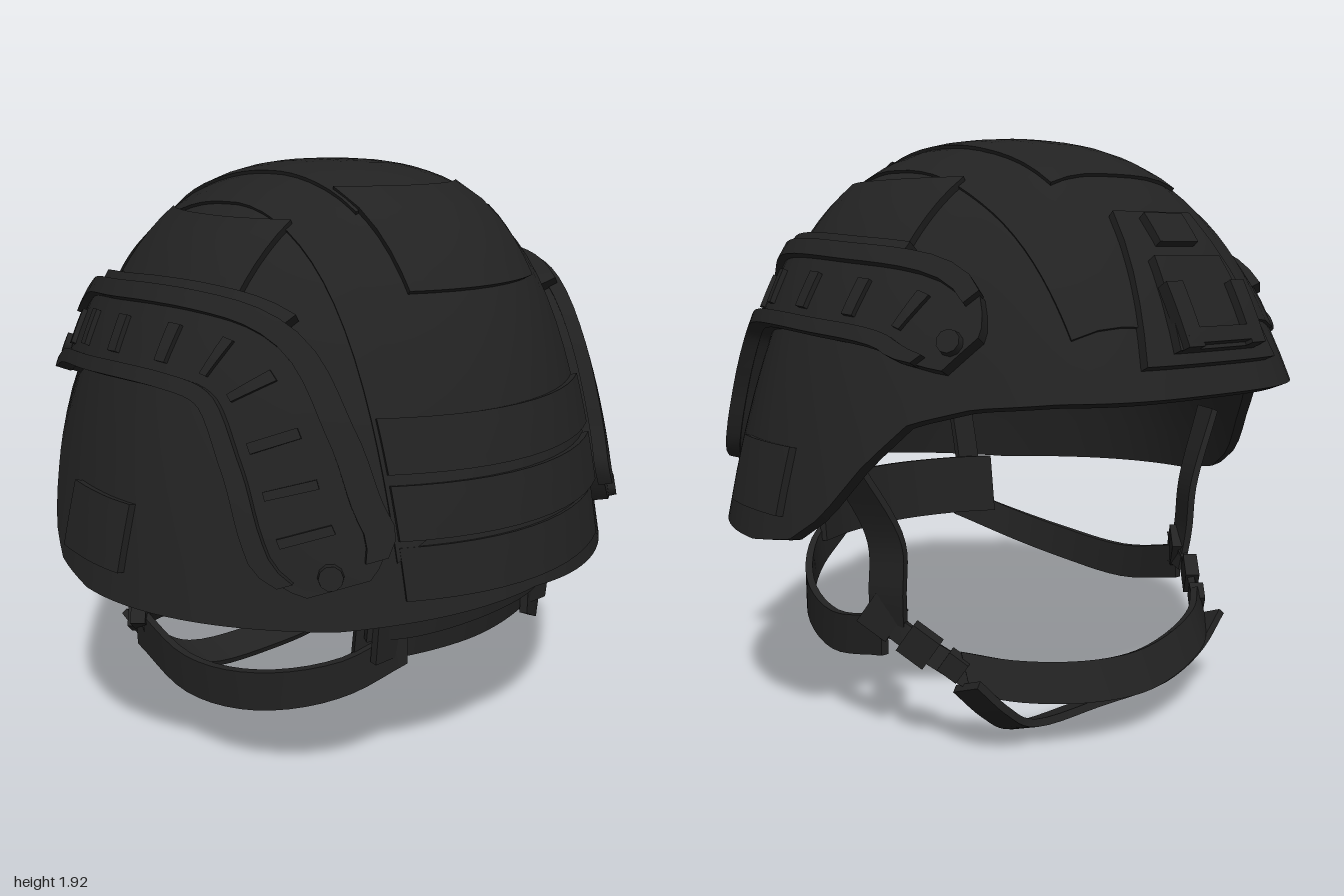
import * as THREE from 'three';
import { toCreasedNormals } from 'three/addons/utils/BufferGeometryUtils.js';

const V = (x, y, z) => new THREE.Vector3(x, y, z);
const lerp = THREE.MathUtils.lerp;
const TOP = 1.9, DROP = 1.2, CX = 0.04;

// Dome: a = angle round the head from the brow (-x), s = 0 at crown, about 1 at the rim
function radius(a) {
  const c = Math.cos(a), len = c > 0 ? 1.12 : 0.93, q = Math.abs(a);
  const shape = q < 0.91 ? 1 + 0.05 * Math.sin(Math.PI * q / 0.91) ** 2 : c < 0 ? 1 - 0.035 * Math.sin(2 * a) ** 2 : 1;
  return shape / Math.hypot(c / len, Math.sin(a) / 0.98);
}
function height(a, s) {
  const k = 0.67 - 0.22 * Math.max(0, -Math.cos(a));
  return TOP - DROP * (k * s ** 2.5 + (1 - k) * s ** 6);
}
const dome = (a, s) => V(CX - s * radius(a) * Math.cos(a), height(a, s), s * radius(a) * Math.sin(a));
function bisect(lo, hi, test) {
  for (let i = 0; i < 24; i++) {
    const m = (lo + hi) / 2;
    if (test(m)) lo = m; else hi = m;
  }
  return (lo + hi) / 2;
}
const sAt = (y, a) => bisect(0, 1.1, s => height(a, s) > y);
function onDome(a, s, off) {
  const p = dome(a, s);
  if (s < 0.03) return p.add(V(0, off, 0));
  const e = 0.004;
  const n = dome(a + e, s).sub(dome(a - e, s)).cross(dome(a, s + e).sub(dome(a, s - e))).normalize();
  if (n.y < 0) n.negate();
  return p.addScaledVector(n, off);
}
const onTop = (x, z, off) => {
  const a = Math.atan2(z, CX - x);
  return onDome(a, Math.hypot(z, CX - x) / radius(a), off);
};
const onSide = (x, y, side, off) => {
  const a = bisect(0, Math.PI, q => dome(q, sAt(y, q)).x < x);
  return onDome(side * a, sAt(y, a), off);
};
const onEnd = (y, z, back, off) => {
  const angle = q => back ? Math.PI - q : q;
  const a = angle(bisect(0, Math.PI / 2, q => dome(angle(q), sAt(y, angle(q))).z < Math.abs(z)));
  return onDome((z < 0 ? -1 : 1) * a, sAt(y, a), off);
};

// Closed slab from a rule P(u, v, w): w = 0 underside, w = 1 outside
function slab(nu, nv, P, crease = 0.6) {
  const pos = [], idx = [], row = nv + 1, layer = (nu + 1) * row;
  for (let w = 0; w < 2; w++)
    for (let i = 0; i <= nu; i++)
      for (let j = 0; j <= nv; j++) pos.push(...P(i / nu, j / nv, w).toArray());
  const quad = (a, b, c, d) => idx.push(a, b, c, a, c, d);
  const at = (w, i, j) => w * layer + i * row + j;
  for (let i = 0; i < nu; i++) {
    for (let j = 0; j < nv; j++) {
      quad(at(1, i, j), at(1, i + 1, j), at(1, i + 1, j + 1), at(1, i, j + 1));
      quad(at(0, i, j), at(0, i, j + 1), at(0, i + 1, j + 1), at(0, i + 1, j));
    }
    quad(at(0, i, 0), at(0, i + 1, 0), at(1, i + 1, 0), at(1, i, 0));
    quad(at(0, i, nv), at(1, i, nv), at(1, i + 1, nv), at(0, i + 1, nv));
  }
  for (let j = 0; j < nv; j++) {
    quad(at(0, 0, j), at(1, 0, j), at(1, 0, j + 1), at(0, 0, j + 1));
    quad(at(0, nu, j), at(0, nu, j + 1), at(1, nu, j + 1), at(1, nu, j));
  }
  // turn all faces outward
  const p = i => V(pos[3 * i], pos[3 * i + 1], pos[3 * i + 2]);
  let volume = 0;
  for (let i = 0; i < idx.length; i += 3) volume += p(idx[i]).dot(p(idx[i + 1]).cross(p(idx[i + 2])));
  if (volume < 0) idx.reverse();
  const g = new THREE.BufferGeometry();
  g.setAttribute('position', new THREE.Float32BufferAttribute(pos, 3));
  g.setIndex(idx);
  return toCreasedNormals(g, crease);
}

// Webbing along a smooth path; each stop is [position, width direction]
function ribbon(stops, width, thick = 0.025, n = 20) {
  const curve = new THREE.CatmullRomCurve3(stops.map(s => V(...s[0])), false, 'centripetal');
  return slab(n, 1, (u, v, w) => {
    const f = u * (stops.length - 1), i = Math.min(Math.floor(f), stops.length - 2);
    const dir = V(...stops[i][1]).lerp(V(...stops[i + 1][1]), f - i).normalize();
    const nrm = curve.getTangent(u).cross(dir).normalize();
    return curve.getPoint(u).addScaledVector(dir, (v - 0.5) * width).addScaledVector(nrm, (w - 0.5) * thick);
  });
}

// Rim height by angle from the brow, in degrees
const RIM = [[0, 1.14], [30, 1.14], [44, 1.12], [56, 1.07], [64, 0.95], [72, 0.79], [79, 0.71], [90, 0.68], [140, 0.67], [165, 0.7], [181, 0.72]];
function rimY(a) {
  const d = Math.abs(a) * 180 / Math.PI, i = RIM.findIndex(r => r[0] > d), [d0, y0] = RIM[i - 1], [d1, y1] = RIM[i];
  return lerp(y0, y1, (d - d0) / (d1 - d0));
}

export function createModel() {
  const model = new THREE.Group();
  const fabric = new THREE.MeshStandardMaterial({ color: 0x222222 });
  fabric.name = 'black fabric';
  const add = (name, geo) => {
    const m = new THREE.Mesh(geo, fabric);
    m.name = name;
    model.add(m);
    return m;
  };
  const sidePatch = (name, x0, x1, y0, y1, side, o1) =>
    add(name, slab(8, 5, (u, v, w) => onSide(lerp(x0, x1, u), lerp(y0, y1, v), side, w ? o1 : -0.01)));
  const endPatch = (name, y0, y1, z0, z1, back, o0, o1, taper = 1) =>
    add(name, slab(5, 12, (u, v, w) => onEnd(lerp(y0, y1, u), lerp(z0, z1, v) * lerp(1, taper, u), back, w ? o1 : o0)));

  // Shell with its inner wall
  add('shell', slab(128, 30, (u, v, w) => {
    const a = (u * 2 - 1) * Math.PI;
    return onDome(a, v * sAt(rimY(a), a), w ? 0 : -0.045);
  }, 0.9));

  // Cover: centre band, crown and back panels
  add('centreBand', slab(40, 12, (u, v, w) => {
    const z = lerp(-0.43, 0.43, v), q = Math.sin((u - 0.5) * Math.PI);
    return onTop(CX + q * (q < 0 ? 0.91 : 0.86) * Math.sqrt(1 - z * z), z, w ? 0.01 : -0.01);
  }));
  add('crownPanel', slab(16, 8, (u, v, w) => onTop(lerp(-0.5, 0.44, u), lerp(-0.26, 0.26, v), w ? 0.02 : -0.01)));
  endPatch('backPanel', 1.57, 1.83, -0.25, 0.25, true, -0.01, 0.03);
  [[0.75, 0.9, 0.012], [0.92, 1.07, 0.03], [1.1, 1.25, 0.03]].forEach(([y0, y1, o]) =>
    endPatch('backBand', y0, y1, -0.42, 0.42, true, -0.01, o));

  // Brow mount
  endPatch('browBase', 1.22, 1.64, -0.27, 0.27, false, -0.01, 0.035, 0.6);
  endPatch('browPlate', 1.25, 1.5, -0.17, 0.17, false, 0.02, 0.065, 0.8);
  for (const z of [-0.13, 0.13]) endPatch('browClaw', 1.25, 1.42, z - 0.03, z + 0.03, false, 0.05, 0.09);
  endPatch('browBar', 1.26, 1.3, -0.15, 0.15, false, 0.05, 0.09);
  endPatch('browCatch', 1.54, 1.62, -0.08, 0.08, false, 0.02, 0.06);

  // Side rail centre line, seen from the side
  const railLine = new THREE.SplineCurve([[-0.57, 1.25], [-0.4, 1.37], [-0.1, 1.41], [0.24, 1.42], [0.44, 1.36],
    [0.57, 1.16], [0.65, 0.97], [0.73, 0.8]].map(p => new THREE.Vector2(...p)));
  const onRail = (t, d, side, off) => {
    const p = railLine.getPoint(t), g = railLine.getTangent(t);
    return onSide(p.x - g.y * d, p.y + g.x * d, side, off);
  };
  const railPiece = (name, side, t0, t1, d0, d1, o0, o1, n) =>
    add(name, slab(n, 3, (u, v, w) => {
      const t = lerp(t0, t1, u), end = Math.min(1, 0.45 + 6 * Math.min(t, 1 - t));
      return onRail(t, lerp(d0, d1, v) * end, side, w ? o1 : o0);
    }));

  for (const side of [-1, 1]) {
    sidePatch('upperPatch', -0.28, 0.33, 1.56, 1.75, side, 0.025);
    sidePatch('earPatch', -0.1, 0.2, 0.77, 0.97, side, 0.025);

    // Rail with lips, cross teeth and bolts
    railPiece('rail', side, 0, 1, -0.12, 0.12, -0.01, 0.05, 36);
    railPiece('railUpperLip', side, 0.08, 0.95, 0.08, 0.125, 0.03, 0.075, 32);
    railPiece('railLowerLip', side, 0.05, 0.95, -0.125, -0.085, 0.03, 0.08, 32);
    railPiece('railTopGuard', side, 0.2, 0.55, 0.1, 0.15, -0.01, 0.06, 14);
    for (let i = 0; i < 9; i++) {
      const t = 0.13 + i * 0.092;
      railPiece('railTooth', side, t, t + 0.018, -0.06, 0.04, 0.04, 0.065, 1);
    }
    for (const t of [0.04, 0.96]) {
      const bolt = add('railBolt', new THREE.CylinderGeometry(0.035, 0.04, 0.05, 10));
      const p = onRail(t, 0, side, 0.05), n = onRail(t, 0, side, 0.1).sub(p).normalize();
      bolt.position.copy(p);
      bolt.quaternion.setFromUnitVectors(V(0, 1, 0), n);
    }

    // Retention webbing
    add('frontStrap', ribbon([[[-0.2, 0.95, side * 0.82], [1, 0, side * 0.4]], [[-0.23, 0.68, side * 0.68], [1, 0, side * 0.5]],
      [[-0.22, 0.5, side * 0.67], [1, 0, side * 0.5]], [[-0.2, 0.36, side * 0.65], [1, 0.1, side * 0.4]]], 0.12));
    add('rearStrap', ribbon([[[0.7, 0.52, side * 0.27], [0, 1, 0]], [[0.6, 0.42, side * 0.45], [0.1, 1, 0]],
      [[0.38, 0.34, side * 0.6], [0, 1, 0]], [[0.1, 0.31, side * 0.67], [0, 1, 0]],
      [[-0.2, 0.37, side * 0.67], [0, 1, 0]]], 0.13));
    add('napeStrap', ribbon([[[0.74, 0.86, side * 0.34], [0, 0, 1]], [[0.7, 0.68, side * 0.34], [0, 0, 1]],
      [[0.68, 0.48, side * 0.34], [0, 0, 1]]], 0.1));
    add('jawStrap', ribbon([[[-0.17, 0.43, side * 0.67], [0.3, 1, 0]], [[-0.3, 0.36, side * 0.62], [0.4, 1, 0]],
      [[-0.46, 0.25, side * 0.5], [0.4, 1, 0]]], 0.1));
    [[-0.19, 0.43, 0.67, 0.11], [-0.31, 0.355, 0.615, 0.1], [-0.4, 0.3, 0.55, 0.07]].forEach(([x, y, z, size]) => {
      const buckle = add('strapBuckle', new THREE.BoxGeometry(size, size, 0.05));
      buckle.position.set(x, y, side * z);
      buckle.rotation.set(0, -side * 0.7, 0.6);
    });
  }

  // Chin loops, front and under
  const across = (name, path, dir, width) => add(name, ribbon(
    [...path.map(p => [p, dir]), ...path.slice(0, -1).reverse().map(([x, y, z]) => [[x, y, -z], dir])], width, 0.025, 32));
  across('chinFront', [[-0.43, 0.28, 0.53], [-0.53, 0.25, 0.4], [-0.6, 0.22, 0.2], [-0.63, 0.21, 0]], [0.4, 1, 0], 0.13);
  across('chinUnder', [[-0.46, 0.25, 0.55], [-0.46, 0.14, 0.44], [-0.43, 0.055, 0.31], [-0.41, 0.035, 0]], [1, -0.4, 0], 0.13);

  // Nape pad
  across('napePad', [[0.62, 0.58, 0.41], [0.69, 0.58, 0.25], [0.73, 0.58, 0]], [0.12, 1, 0], 0.23);
  across('napeBand', [[0.66, 0.6, 0.4], [0.73, 0.6, 0.25], [0.76, 0.6, 0]], [0.1, 1, 0], 0.1);
  return model;
}
